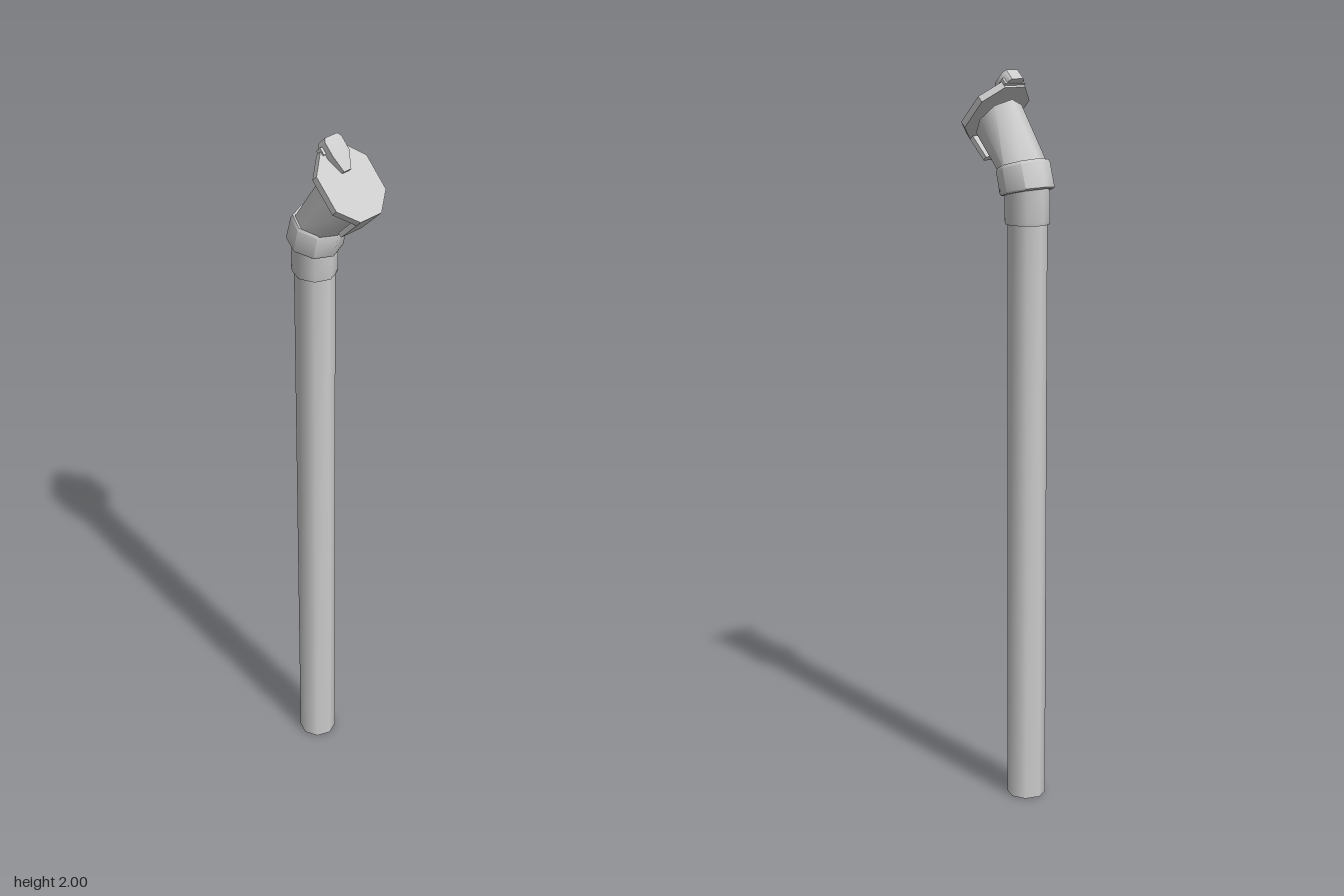
import * as THREE from 'three';
import { toCreasedNormals } from 'three/addons/utils/BufferGeometryUtils.js';

const SIDES = 8;
const material = new THREE.MeshStandardMaterial({ color: 0xcccccc });

function part(name, geometry, parent) {
  const mesh = new THREE.Mesh(geometry, material);
  mesh.name = name;
  parent.add(mesh);
  return mesh;
}

// Capped tube through tilted rings: [front z, front y, back z, back y, half width]
function loft(rings) {
  const pos = [];
  const index = [];
  for (const [fz, fy, bz, by, w] of rings) {
    for (let j = 0; j < SIDES; j++) {
      const a = (j / SIDES) * Math.PI * 2;
      const t = (1 - Math.cos(a)) / 2;
      pos.push(Math.sin(a) * w, fy + (by - fy) * t, fz + (bz - fz) * t);
    }
  }
  for (let i = 0; i < rings.length - 1; i++) {
    for (let j = 0; j < SIDES; j++) {
      const k = (j + 1) % SIDES;
      const a = i * SIDES + j, b = i * SIDES + k;
      index.push(a, b, b + SIDES, a, b + SIDES, a + SIDES);
    }
  }
  const top = (rings.length - 1) * SIDES;
  for (let j = 1; j < SIDES - 1; j++) {
    index.push(0, j + 1, j, top, top + j, top + j + 1);
  }
  const g = new THREE.BufferGeometry();
  g.setAttribute('position', new THREE.Float32BufferAttribute(pos, 3));
  g.setIndex(index);
  return toCreasedNormals(g, 0.85);
}

// Flat plate from a right-hand half outline, mirrored in x
function plate(half, depth) {
  const pts = [...half, ...half.slice().reverse().map(([x, y]) => [-x, y])];
  const shape = new THREE.Shape(pts.map(([x, y]) => new THREE.Vector2(x, y)));
  return new THREE.ExtrudeGeometry(shape, { depth, bevelEnabled: false });
}

export function createModel() {
  const model = new THREE.Group();
  model.name = 'cappedPipe';

  // Upright pipe and the collar that holds the head
  part('pole', loft([
    [-0.01, 0, -0.116, 0, 0.053],
    [-0.01, 1.62, -0.116, 1.62, 0.053],
  ]), model);
  part('collar', loft([
    [-0.004, 1.603, -0.122, 1.603, 0.057],
    [-0.002, 1.612, -0.124, 1.612, 0.059],
    [-0.002, 1.69, -0.122, 1.71, 0.058],
  ]), model);

  // Tilted ring at the bend
  part('elbowRing', loft([
    [0.006, 1.674, -0.128, 1.7, 0.07],
    [0.009, 1.679, -0.133, 1.705, 0.074],
    [0.022, 1.737, -0.114, 1.77, 0.074],
    [0.019, 1.743, -0.108, 1.778, 0.07],
  ]), model);

  // Slanted spout, cut at 45 degrees under the cap
  part('spout', loft([
    [0.017, 1.735, -0.107, 1.768, 0.067],
    [0.1, 1.822, -0.004, 1.926, 0.068],
  ]), model);

  // Hinged cap, local z is the outward normal of the lid
  const cap = new THREE.Group();
  cap.name = 'cap';
  cap.position.set(0, 1.902, 0.067);
  cap.rotation.x = -Math.PI / 4;
  model.add(cap);

  part('lid', plate([[0.036, -0.098], [0.085, -0.05], [0.085, 0.046], [0.036, 0.098]], 0.02), cap)
    .position.z = -0.02;

  // Lip folded back below the lid
  part('lip', new THREE.BoxGeometry(0.072, 0.014, 0.095), cap).position.set(0, -0.091, -0.0475);

  // Hinge pin and the tapered lever over it
  part('hingePin', new THREE.BoxGeometry(0.072, 0.02, 0.018), cap).position.set(0, 0.096, -0.004);
  const lever = plate([[0.012, 0.028], [0.028, 0.072], [0.028, 0.11], [0.02, 0.12]], 0.033);
  const p = lever.attributes.position;
  for (let i = 0; i < p.count; i++) {
    const thin = p.getY(i) < 0.05 ? 0.66 : 1;
    p.setZ(i, p.getZ(i) * thin - 0.011);
  }
  part('lever', toCreasedNormals(lever, 0.7), cap);

  return model;
}
